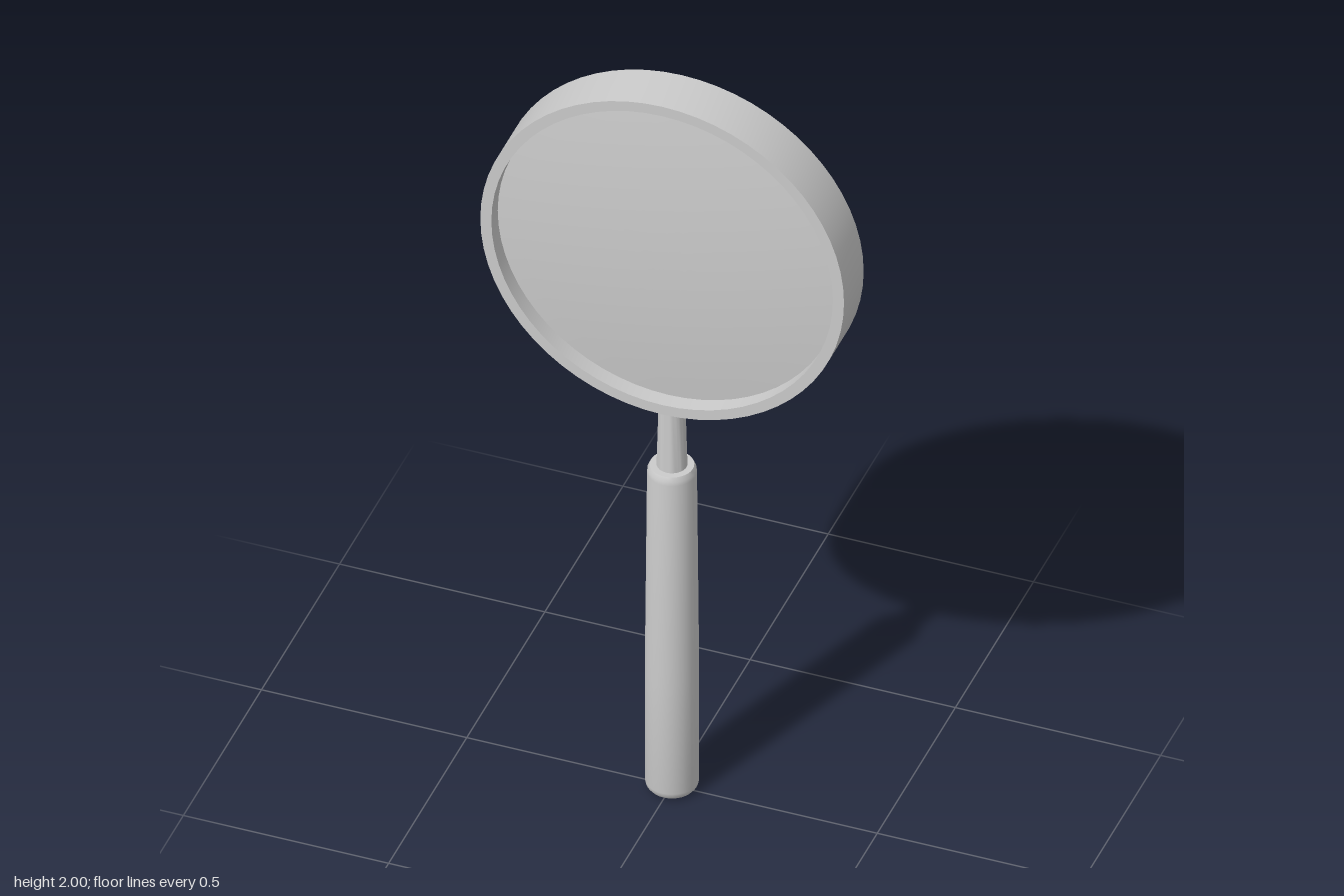
import * as THREE from 'three';
import { toCreasedNormals } from 'three/addons/utils/BufferGeometryUtils.js';

const RING_Y = 1.557, RING_R = 0.443, RING_INNER = 0.416, RING_HALF = 0.063;

// Turned part: profile runs bottom to top as [radius, y]
function turned(name, profile, segments, crease = 0.5) {
  const points = profile.map(([r, y]) => new THREE.Vector2(r, y));
  const geometry = toCreasedNormals(new THREE.LatheGeometry(points, segments), crease);
  const mesh = new THREE.Mesh(geometry, new THREE.MeshStandardMaterial({ color: 0xcccccc }));
  mesh.name = name;
  return mesh;
}

export function createModel() {
  const model = new THREE.Group();
  model.name = 'magnifyingGlass';

  // Grip: rounded foot, slight taper, bevelled shoulder
  model.add(turned('handle', [
    [0, 0], [0.045, 0], [0.054, 0.004], [0.06, 0.012], [0.062, 0.022],
    [0.062, 0.34], [0.057, 0.905], [0.056, 0.915], [0.051, 0.926], [0, 0.926],
  ], 32));

  // Tapered neck, sunk into the handle and the rim
  model.add(turned('neck', [[0, 0.9], [0.036, 0.9], [0.03, 1.128], [0, 1.128]], 32));

  // Head: rim and lens are turned about the z axis
  const head = new THREE.Group();
  head.name = 'head';
  head.position.y = RING_Y;
  head.rotation.x = Math.PI / 2;
  model.add(head);

  head.add(turned('rim', [
    [RING_INNER, -RING_HALF], [RING_R, -RING_HALF], [RING_R, RING_HALF],
    [RING_INNER, RING_HALF], [RING_INNER, -RING_HALF],
  ], 64));

  // Lens: shallow dome on both faces
  const edge = 0.022, bulge = 0.024, steps = 8, lensR = RING_INNER + 0.004;
  const dome = [];
  for (let i = 0; i <= steps; i++) {
    const t = i / steps;
    dome.push([lensR * t, edge + bulge * (1 - t * t)]);
  }
  const lensProfile = [...dome.map(([r, y]) => [r, -y]), ...dome.reverse()];
  head.add(turned('lens', lensProfile, 64));

  return model;
}
